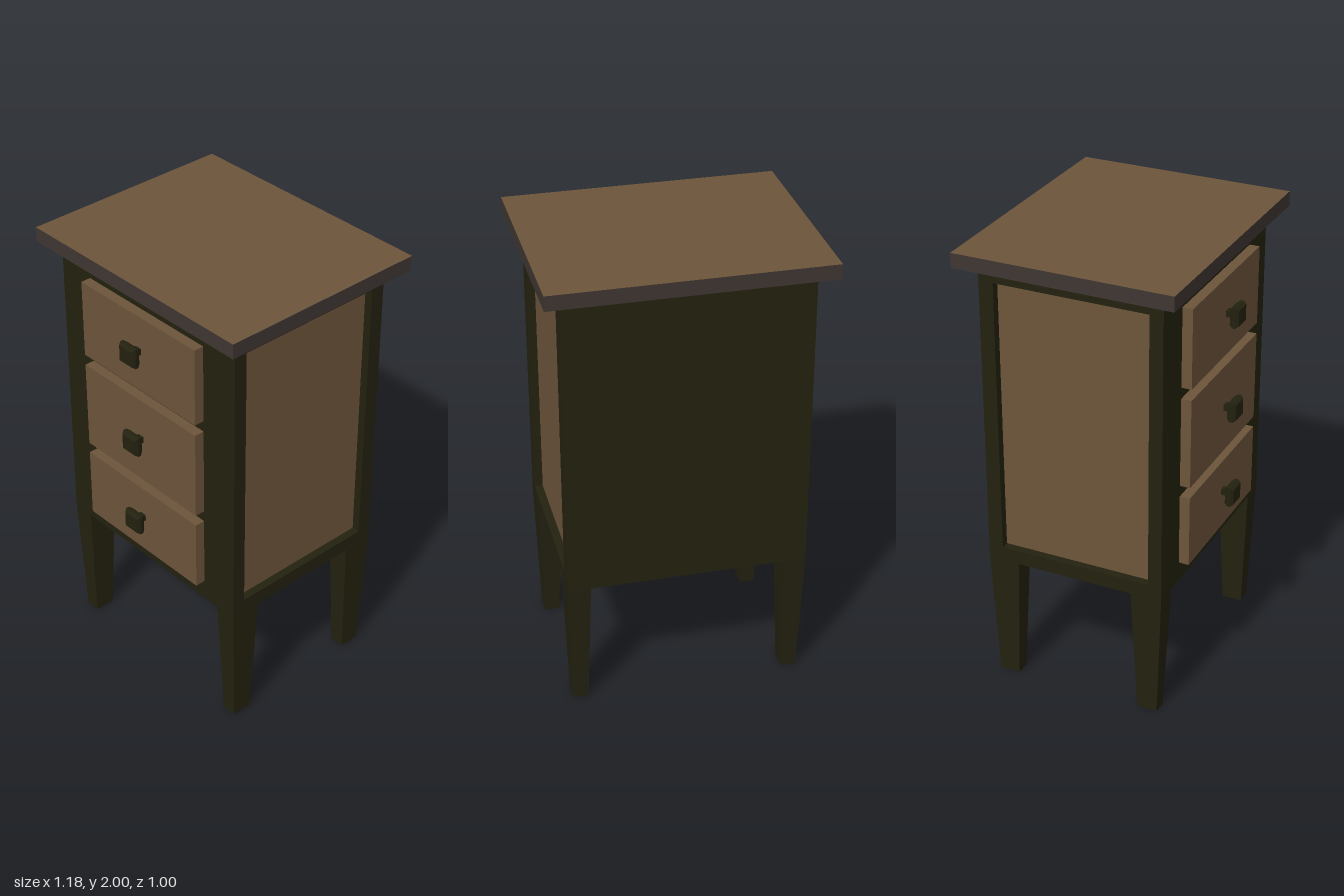
import * as THREE from 'three';

const material = (name, color) => {
  const m = new THREE.MeshStandardMaterial({ color });
  m.name = name;
  return m;
};

export function createModel() {
  const model = new THREE.Group();
  model.name = 'nightstand';
  const dark = material('darkFrame', 0x23210f);
  const wood = material('brownWood', 0x6d543b);
  const edge = material('greyBrownEdge', 0x3e3632);

  const add = (name, geometry, mat, parent = model) => {
    const mesh = new THREE.Mesh(geometry, mat);
    mesh.name = name;
    parent.add(mesh);
    return mesh;
  };
  // Box given by its minimum and maximum corners
  const box = (name, [x0, y0, z0], [x1, y1, z1], mat, parent) => {
    const mesh = add(name, new THREE.BoxGeometry(x1 - x0, y1 - y0, z1 - z0), mat, parent);
    mesh.position.set((x0 + x1) / 2, (y0 + y1) / 2, (z0 + z1) / 2);
    return mesh;
  };
  // Moves every vertex of a geometry by a rule
  const reshape = (geometry, rule) => {
    const p = geometry.attributes.position;
    const v = new THREE.Vector3();
    for (let i = 0; i < p.count; i++) {
      rule(v.fromBufferAttribute(p, i));
      p.setXYZ(i, v.x, v.y, v.z);
    }
    const flat = geometry.toNonIndexed();
    flat.computeVertexNormals();
    return flat;
  };

  // Table top: brown upper face, grey-brown rim and underside
  box('tableTop', [-0.59, 1.935, -0.5], [0.59, 2, 0.46], [edge, edge, wood, edge, edge, edge]);

  // Cabinet core
  box('cabinet', [-0.48, 0.58, -0.42], [0.48, 1.935, 0.385], dark);

  // Side frames around recessed panels
  const rect = (target, a0, b0, a1, b1) => {
    target.moveTo(a0, b0);
    target.lineTo(a1, b0);
    target.lineTo(a1, b1);
    target.lineTo(a0, b1);
    target.closePath();
    return target;
  };
  for (const side of [-1, 1]) {
    const label = side > 0 ? 'left' : 'right';
    const outline = rect(new THREE.Shape(), -0.385, 0.58, 0.42, 1.935);
    outline.holes.push(rect(new THREE.Path(), -0.325, 0.645, 0.355, 1.87));
    const frame = new THREE.ExtrudeGeometry(outline, { depth: 0.04, bevelEnabled: false });
    frame.rotateY(Math.PI / 2);
    const mesh = add(label + 'SideFrame', frame, dark);
    mesh.position.x = side > 0 ? 0.48 : -0.52;
    const x = side * 0.48;
    box(label + 'SidePanel', [x - 0.004, 0.645, -0.355], [x + 0.004, 1.87, 0.325], wood);
  }

  // Tapered legs
  for (const sx of [-1, 1]) {
    for (const [name, z] of [['front', 0.315], ['back', -0.35]]) {
      const geometry = reshape(new THREE.BoxGeometry(0.1, 0.58, 0.14), (v) => {
        if (v.y < 0) {
          v.x *= 0.65;
          v.z *= 0.65;
        }
      });
      add(name + (sx > 0 ? 'Left' : 'Right') + 'Leg', geometry, dark).position.set(sx * 0.47, 0.29, z);
    }
  }

  // Drawers with square, chamfered knobs
  const drawers = [['top', 1.49, 1.84, 1.68], ['middle', 1.04, 1.44, 1.25], ['bottom', 0.67, 0.99, 0.845]];
  for (const [name, y0, y1, knobY] of drawers) {
    const drawer = new THREE.Group();
    drawer.name = name + 'Drawer';
    model.add(drawer);
    box('drawerFront', [-0.345, y0, 0.38], [0.34, y1, 0.43], wood, drawer);
    box('knobStem', [-0.01, knobY - 0.014, 0.425], [0.02, knobY + 0.014, 0.465], dark, drawer);
    const knob = reshape(new THREE.BoxGeometry(0.092, 0.088, 0.04, 1, 1, 3), (v) => {
      if (Math.abs(v.z) > 0.019) {
        v.x *= 0.8;
        v.y *= 0.8;
      }
    });
    add('knob', knob, dark, drawer).position.set(0.004, knobY, 0.477);
  }

  return model;
}
